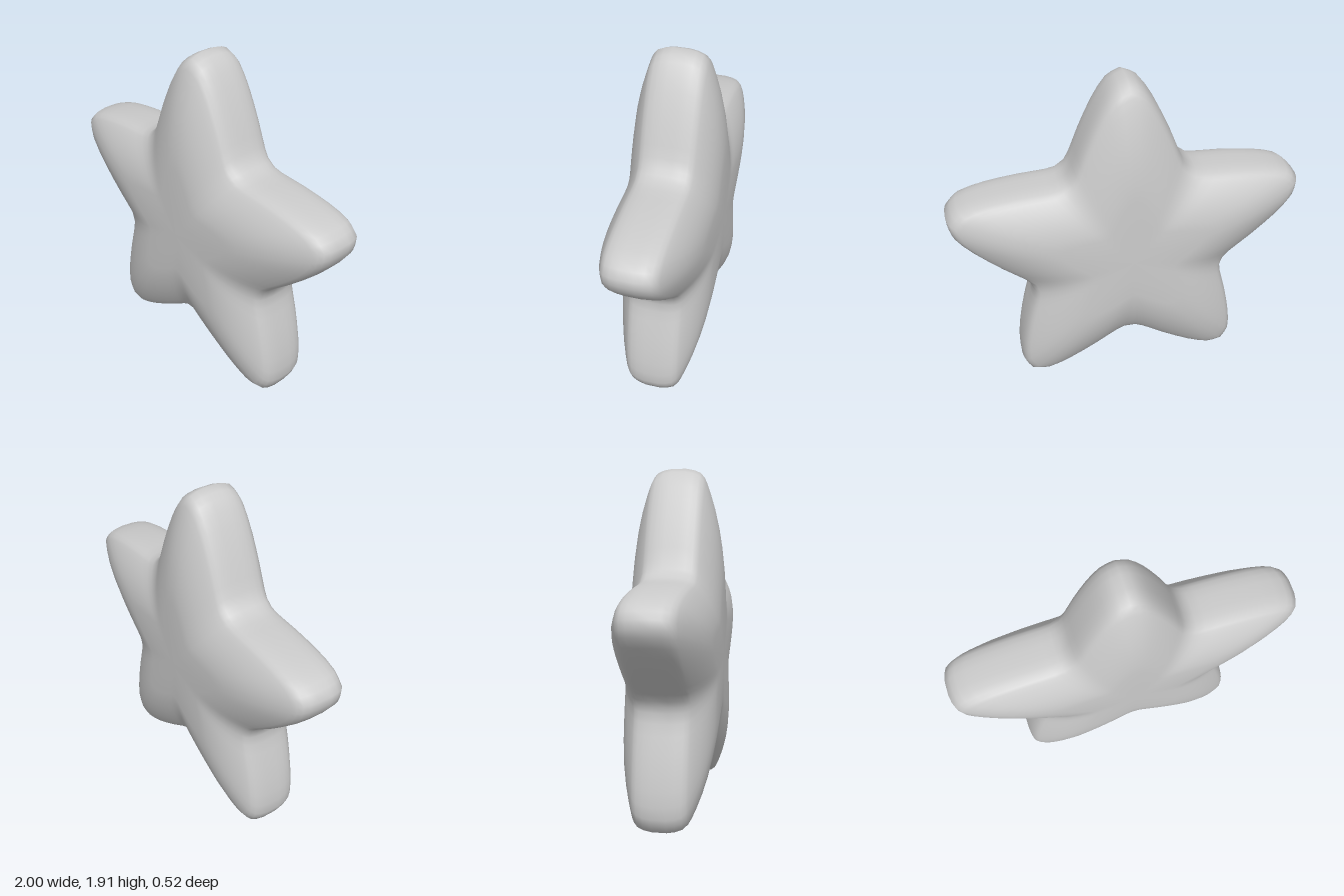
import * as THREE from 'three';

const ARMS = 5, CENTRE_Y = 0.864;

// Half an arm's outline, from tip to valley, about the star's centre
const HALF_ARM = [[0, 1.05], [0.045, 1.031], [0.08, 1.008], [0.12, 0.955], [0.16, 0.887],
  [0.2, 0.805], [0.24, 0.715], [0.275, 0.625], [0.3, 0.562], [0.328, 0.512], [0.357, 0.491]];

// Outline scale and depth, from the middle of the puffed face to the rim
const PROFILE = [[0, 0.26], [0.2, 0.26], [0.4, 0.258], [0.5, 0.252], [0.6, 0.24], [0.7, 0.223],
  [0.8, 0.199], [0.88, 0.174], [0.93, 0.155], [0.955, 0.142], [0.978, 0.12], [0.992, 0.085], [1, 0.04]];

// Closed outline: each arm is its mirrored half followed by the half itself
function starOutline() {
  const arm = [...HALF_ARM.slice(1, -1).reverse().map(([x, y]) => [-x, y]), ...HALF_ARM];
  const points = [];
  for (let k = 0; k < ARMS; k++) {
    const turn = -k * 2 * Math.PI / ARMS;
    for (const [x, y] of arm) {
      points.push(new THREE.Vector2(x, y).rotateAround(new THREE.Vector2(), turn));
    }
  }
  return points;
}

// Skin scaled copies of the outline from front centre round the rim to back centre
function puffedStar() {
  const outline = starOutline(), n = outline.length;
  const rings = [...PROFILE, ...PROFILE.slice().reverse().map(([s, z]) => [s, -z])];
  const positions = [], index = [];
  for (const [s, z] of rings) {
    for (const p of outline) positions.push(p.x * s, p.y * s, z);
  }
  for (let i = 0; i < rings.length - 1; i++) {
    for (let j = 0; j < n; j++) {
      const a = i * n + j, b = i * n + (j + 1) % n, c = a + n, d = b + n;
      if (i > 0) index.push(a, b, d);
      if (i < rings.length - 2) index.push(a, d, c);
    }
  }
  const geometry = new THREE.BufferGeometry();
  geometry.setAttribute('position', new THREE.Float32BufferAttribute(positions, 3));
  geometry.setIndex(index);
  geometry.computeVertexNormals();
  return geometry;
}

export function createModel() {
  const group = new THREE.Group();
  group.name = 'puffyStar';
  const star = new THREE.Mesh(puffedStar(), new THREE.MeshStandardMaterial({ color: 0xcccccc }));
  star.name = 'starBody';
  star.position.y = CENTRE_Y;
  group.add(star);
  return group;
}
